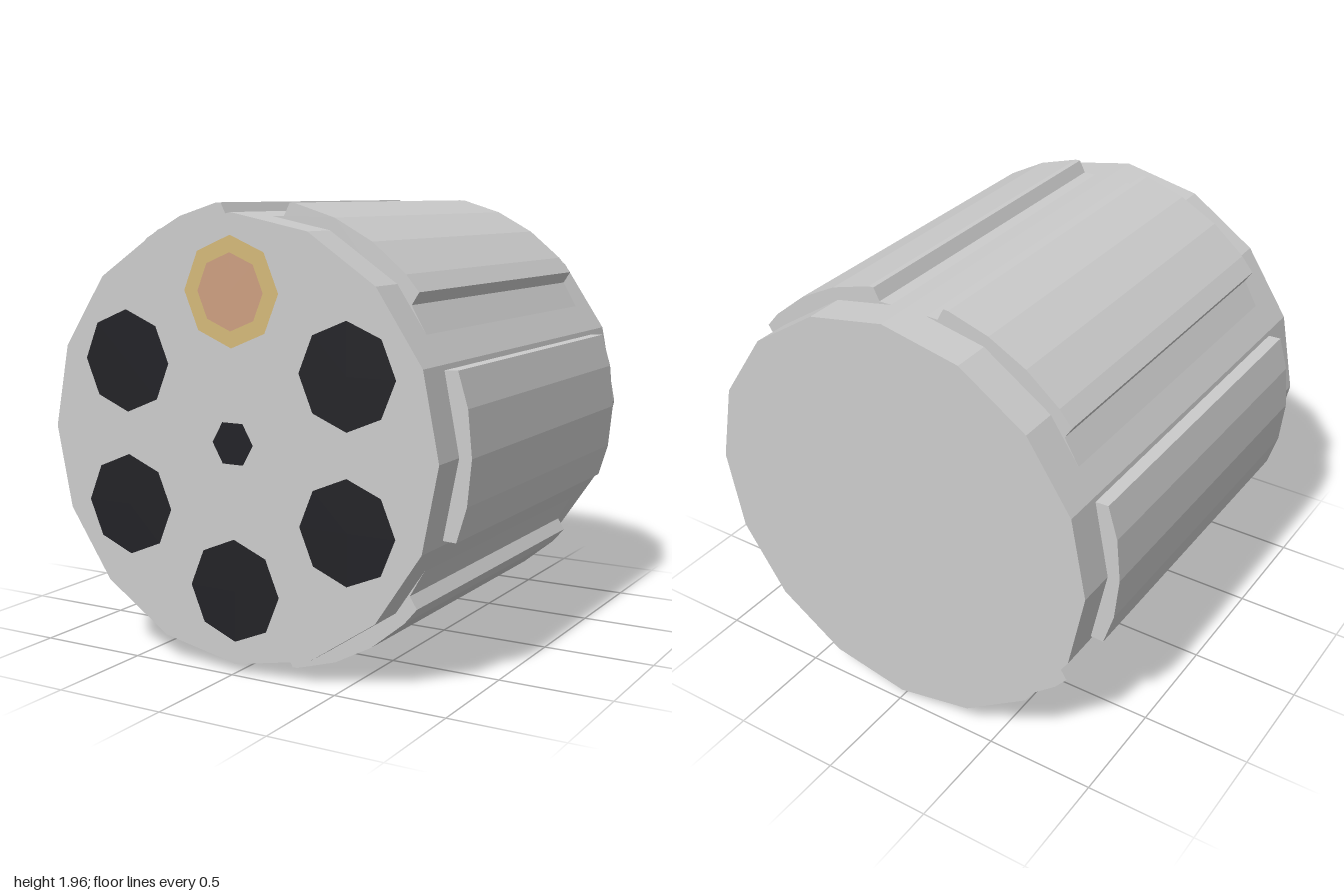
import * as THREE from 'three';

const CY = 0.985; // height of the cylinder axis

function material(color) {
  return new THREE.MeshStandardMaterial({ color, flatShading: true });
}

// Outline of the fluted body: a 32-gon with six shallow trapezoid slots
function flutedOutline() {
  const points = [];
  for (let i = 0; i < 6; i++) {
    const a = i * 60; // degrees clockwise from the top
    const t = THREE.MathUtils.degToRad(a);
    const add = (r, v) => points.push(new THREE.Vector2(
      r * Math.sin(t) + v * Math.cos(t), r * Math.cos(t) - v * Math.sin(t)));
    add(0.982, -0.171);
    add(0.928, -0.143);
    add(0.928, 0.143);
    add(0.982, 0.171);
    for (let k = 0; k < 32; k++) {
      const d = k * 11.25;
      if (d > a + 10.2 && d < a + 49.8) {
        const s = THREE.MathUtils.degToRad(d);
        points.push(new THREE.Vector2(Math.sin(s), Math.cos(s)));
      }
    }
  }
  return new THREE.Shape(points);
}

export function createModel() {
  const model = new THREE.Group();
  const grey = material(0xcccccc);
  const dark = material(0x222226);
  const brass = material(0xd4b878);
  const copper = material(0xcc9e80);

  const add = (name, geometry, mat, x, y, z) => {
    const mesh = new THREE.Mesh(geometry, mat);
    mesh.name = name;
    mesh.position.set(x, y, z);
    model.add(mesh);
  };

  // Sixteen-sided core, showing as a rim at both ends
  const core = new THREE.CylinderGeometry(0.945, 0.945, 1.95, 16).rotateX(Math.PI / 2);
  add('core', core, grey, 0, CY, -0.007);

  // Fluted body around the core
  const body = new THREE.ExtrudeGeometry(flutedOutline(), { depth: 1.6, bevelEnabled: false });
  add('flutedBody', body, grey, 0, CY, -0.807);

  // Ring of chambers on the front face; the top one is loaded
  for (let i = 0; i < 6; i++) {
    const a = i * Math.PI / 3;
    const x = 0.625 * Math.sin(a), y = CY + 0.625 * Math.cos(a);
    if (i === 0) {
      add('cartridgeRim', new THREE.CircleGeometry(0.23, 8), brass, x, y, 0.976);
      add('cartridgeCentre', new THREE.CircleGeometry(0.16, 8), copper, x, y, 0.981);
    } else {
      add('chamber' + i, new THREE.CircleGeometry(0.22, 8), dark, x, y, 0.974);
    }
  }

  // Axle hole
  add('axleHole', new THREE.CircleGeometry(0.1, 6), dark, 0, CY, 0.974);

  return model;
}
